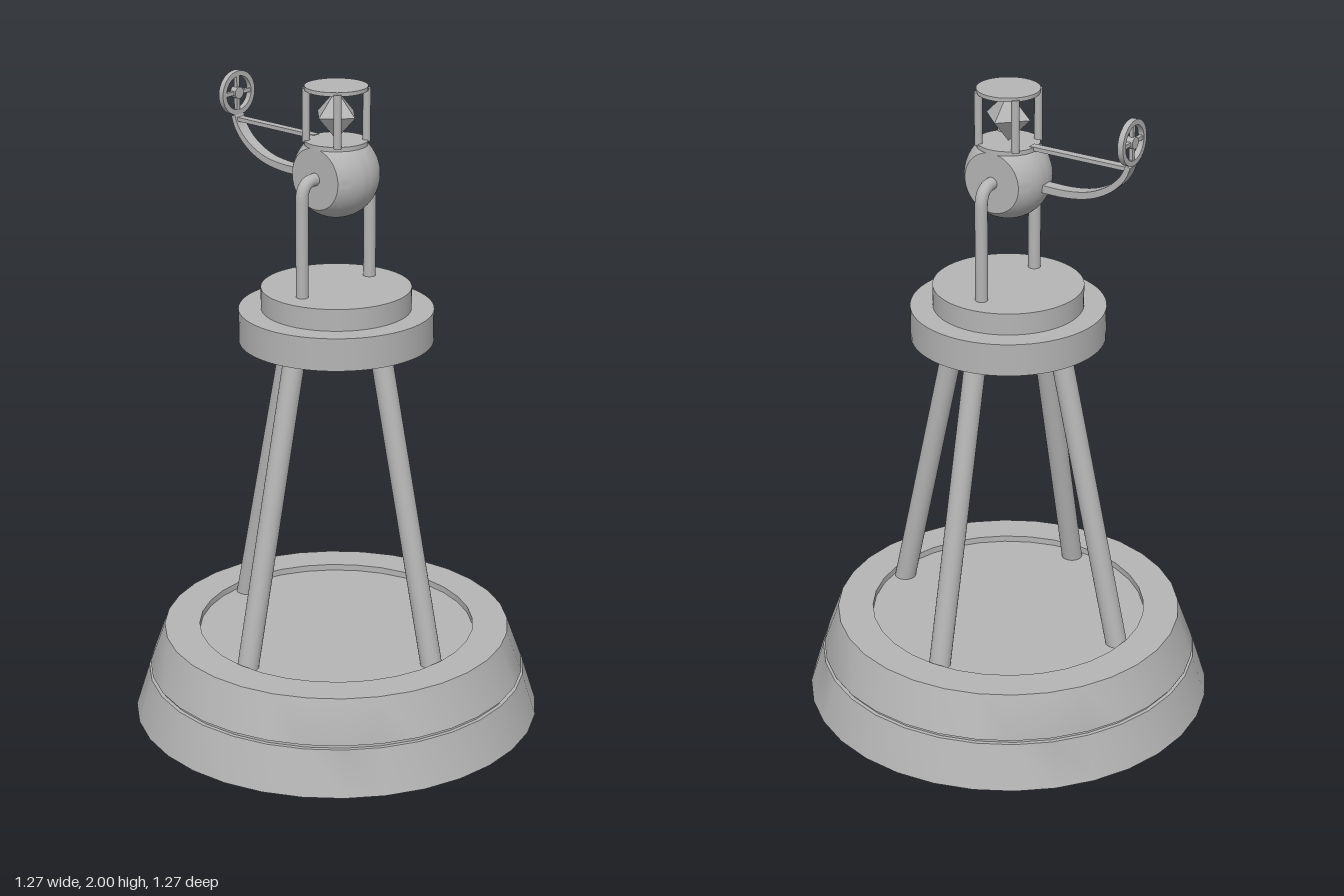
import * as THREE from 'three';
import { toCreasedNormals } from 'three/addons/utils/BufferGeometryUtils.js';

const V2 = (x, y) => new THREE.Vector2(x, y);
const V3 = (x, y, z) => new THREE.Vector3(x, y, z);

export function createModel() {
  const model = new THREE.Group();
  const grey = new THREE.MeshStandardMaterial({ color: 0xb4b4b4 });
  grey.name = 'grey metal';

  const add = (name, geometry, x = 0, y = 0, z = 0, parent = model) => {
    const mesh = new THREE.Mesh(geometry, grey);
    mesh.name = name;
    mesh.position.set(x, y, z);
    parent.add(mesh);
    return mesh;
  };
  const disc = (name, r, y0, y1, segments = 64) =>
    add(name, new THREE.CylinderGeometry(r, r, y1 - y0, segments), 0, (y0 + y1) / 2);
  const lathe = (points, segments) =>
    toCreasedNormals(new THREE.LatheGeometry(points.map(p => V2(...p)), segments), 0.5);

  // Tapered base with a groove around it and a shallow recess on top
  add('base', lathe([
    [0, 0], [0.635, 0], [0.592, 0.138], [0.58, 0.138], [0.58, 0.149], [0.588, 0.149],
    [0.54, 0.28], [0.43, 0.28], [0.43, 0.26], [0, 0.26],
  ], 32));

  // Four leaning legs
  for (let i = 0; i < 4; i++) {
    const a = i * Math.PI / 2, c = Math.cos(a), s = Math.sin(a);
    const path = new THREE.LineCurve3(V3(0.398 * c, 0.25, 0.398 * s), V3(0.175 * c, 1.24, 0.175 * s));
    add('leg', new THREE.TubeGeometry(path, 1, 0.033, 24));
  }

  // Stepped platform
  disc('lowerPlatform', 0.295, 1.22, 1.32);
  disc('upperPlatform', 0.227, 1.32, 1.387);

  // Fork arms bending inwards to hold the body
  for (const side of [1, -1]) {
    const path = new THREE.CurvePath();
    path.add(new THREE.LineCurve3(V3(side * 0.148, 1.38, 0), V3(side * 0.148, 1.68, 0)));
    path.add(new THREE.QuadraticBezierCurve3(
      V3(side * 0.148, 1.68, 0), V3(side * 0.148, 1.735, 0), V3(side * 0.1, 1.735, 0)));
    path.add(new THREE.LineCurve3(V3(side * 0.1, 1.735, 0), V3(side * 0.08, 1.735, 0)));
    add('forkArm', new THREE.TubeGeometry(path, 48, 0.019, 20));
  }

  // Ball body, cut flat on both sides and on top
  const R = 0.13, flat = 0.092, profile = [V2(0, -flat)];
  const limit = Math.asin(flat / R);
  for (let i = 0; i <= 24; i++) {
    const a = -limit + 2 * limit * i / 24;
    profile.push(V2(R * Math.cos(a), R * Math.sin(a)));
  }
  profile.push(V2(0, flat));
  const ball = new THREE.LatheGeometry(profile, 72).rotateZ(Math.PI / 2);
  const pos = ball.attributes.position;
  for (let i = 0; i < pos.count; i++) pos.setY(i, Math.min(pos.getY(i), 0.094));
  add('body', toCreasedNormals(ball, 0.5), 0, 1.735, 0);

  // Lantern: floor, roof, four posts and a crystal
  disc('lanternFloor', 0.094, 1.824, 1.838, 48);
  disc('lanternRoof', 0.094, 1.988, 2, 48);
  for (const x of [-1, 1]) for (const z of [-1, 1])
    add('lanternPost', new THREE.CylinderGeometry(0.012, 0.012, 0.16, 12), x * 0.063, 1.913, z * 0.063);
  add('crystal', new THREE.OctahedronGeometry(0.075), 0, 1.913, 0);

  // Straight sighting rod
  add('rod', new THREE.BoxGeometry(0.026, 0.012, 0.33), 0, 1.834, -0.245);

  // Curved arm swept up from the body to the wheel
  const curve = new THREE.SplineCurve([
    V2(0.11, 1.72), V2(0.2, 1.719), V2(0.28, 1.731), V2(0.345, 1.761), V2(0.39, 1.803), V2(0.41, 1.845),
  ]);
  const upper = [], lower = [];
  for (let i = 0; i <= 24; i++) {
    const p = curve.getPoint(i / 24), t = curve.getTangent(i / 24);
    const h = 0.012 - 0.004 * i / 24;
    upper.unshift(V2(p.x - t.y * h, p.y + t.x * h));
    lower.push(V2(p.x + t.y * h, p.y - t.x * h));
  }
  const arm = new THREE.ExtrudeGeometry(new THREE.Shape([...lower, ...upper]),
    { depth: 0.038, bevelEnabled: false });
  arm.translate(0, 0, -0.019).rotateY(Math.PI / 2);
  add('curvedArm', toCreasedNormals(arm, 0.5));

  // Spoked sighting wheel
  const wheel = new THREE.Group();
  wheel.name = 'wheel';
  wheel.position.set(0, 1.913, -0.411);
  model.add(wheel);
  const rim = lathe([[0.052, -0.009], [0.068, -0.009], [0.068, 0.009], [0.052, 0.009], [0.052, -0.009]], 40);
  add('wheelRim', rim.rotateX(Math.PI / 2), 0, 0, 0, wheel);
  add('wheelSpoke', new THREE.BoxGeometry(0.11, 0.012, 0.012), 0, 0, 0, wheel);
  add('wheelSpoke', new THREE.BoxGeometry(0.012, 0.11, 0.012), 0, 0, 0, wheel);
  add('wheelHub', new THREE.CylinderGeometry(0.018, 0.018, 0.022, 20).rotateX(Math.PI / 2), 0, 0, 0, wheel);

  return model;
}
